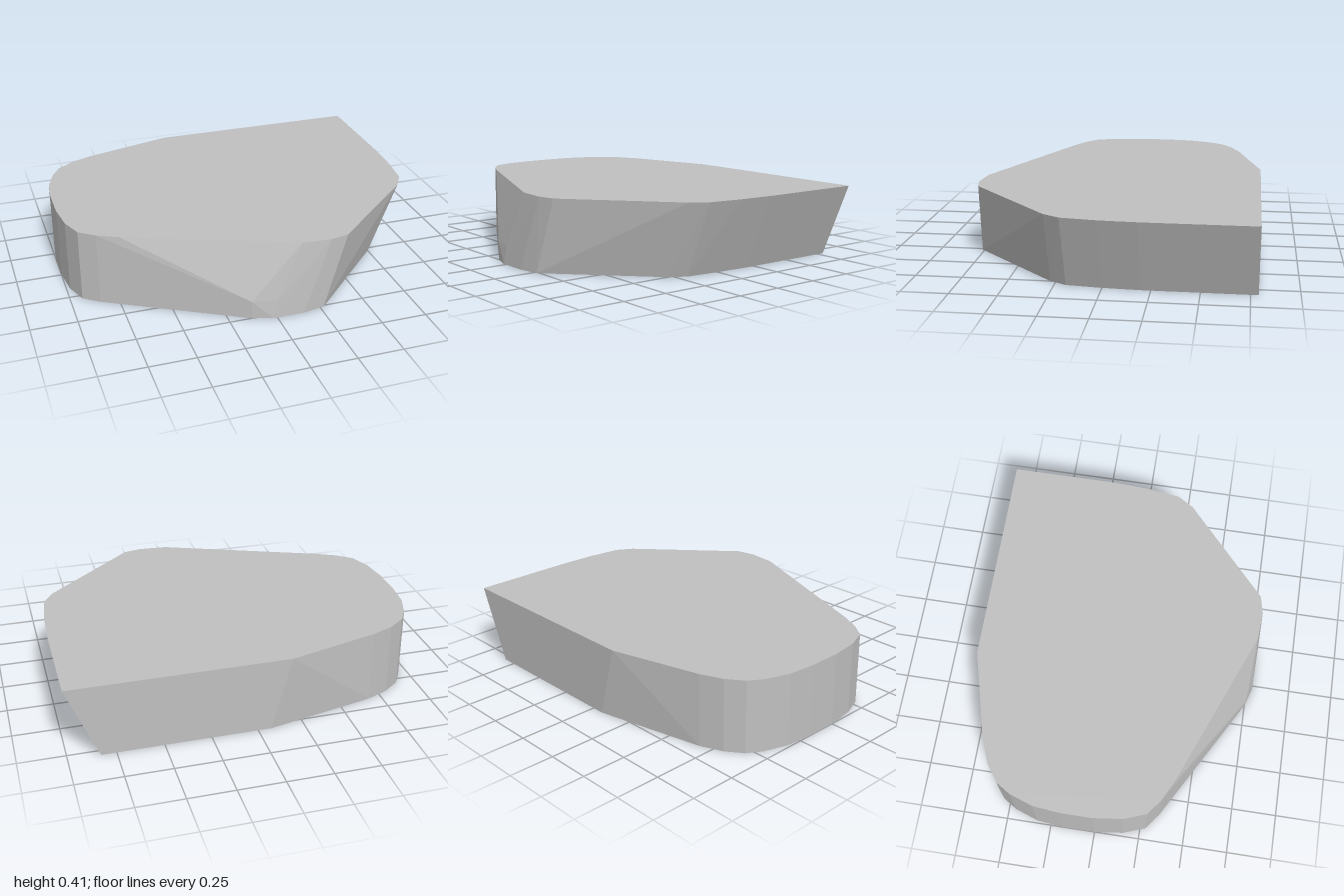
import * as THREE from 'three';
import { ConvexGeometry } from 'three/addons/geometries/ConvexGeometry.js';

const HEIGHT = 0.405;

// Rounded vertical flank, shared by the top and bottom outlines (x, z)
const flank = [
  [-0.74, 0.40], [-0.85, 0.345], [-0.935, 0.28], [-0.98, 0.16], [-1, 0],
  [-1, -0.18], [-0.985, -0.33], [-0.94, -0.46], [-0.89, -0.54],
  [-0.80, -0.605], [-0.68, -0.655],
];

// Upper rim: wide, with a sharp back corner
const top = [
  ...flank, [-0.18, -0.79], [1, -0.79], [1, -0.2], [0.99, 0],
  [0.965, 0.19], [0.91, 0.28], [0.40, 0.74], [0.30, 0.762], [0.14, 0.75],
];

// Lower rim: drawn in on the +x side, bulging at the front
const bottom = [
  ...flank, [-0.07, -0.79], [0.83, -0.79], [0.83, -0.2], [0.82, 0],
  [0.80, 0.19], [0.75, 0.28], [0.27, 0.762], [0.15, 0.785],
  [-0.02, 0.785], [-0.13, 0.75],
];

// Short upright lip where the front chamfer begins
const lip = [[-0.13, 0.75], [0, 0.777]];

const ring = (outline, y) => outline.map(([x, z]) => new THREE.Vector3(x, y, z));

export function createModel() {
  const group = new THREE.Group();
  group.name = 'stone';
  const grey = new THREE.MeshStandardMaterial({ color: 0xc0c0c0 });
  grey.name = 'stone grey';

  // Faceted slab wrapped around the rims
  const slab = new THREE.Mesh(
    new ConvexGeometry([...ring(bottom, 0), ...ring(lip, 0.1), ...ring(top, HEIGHT)]),
    grey,
  );
  slab.name = 'slab';
  group.add(slab);
  return group;
}
